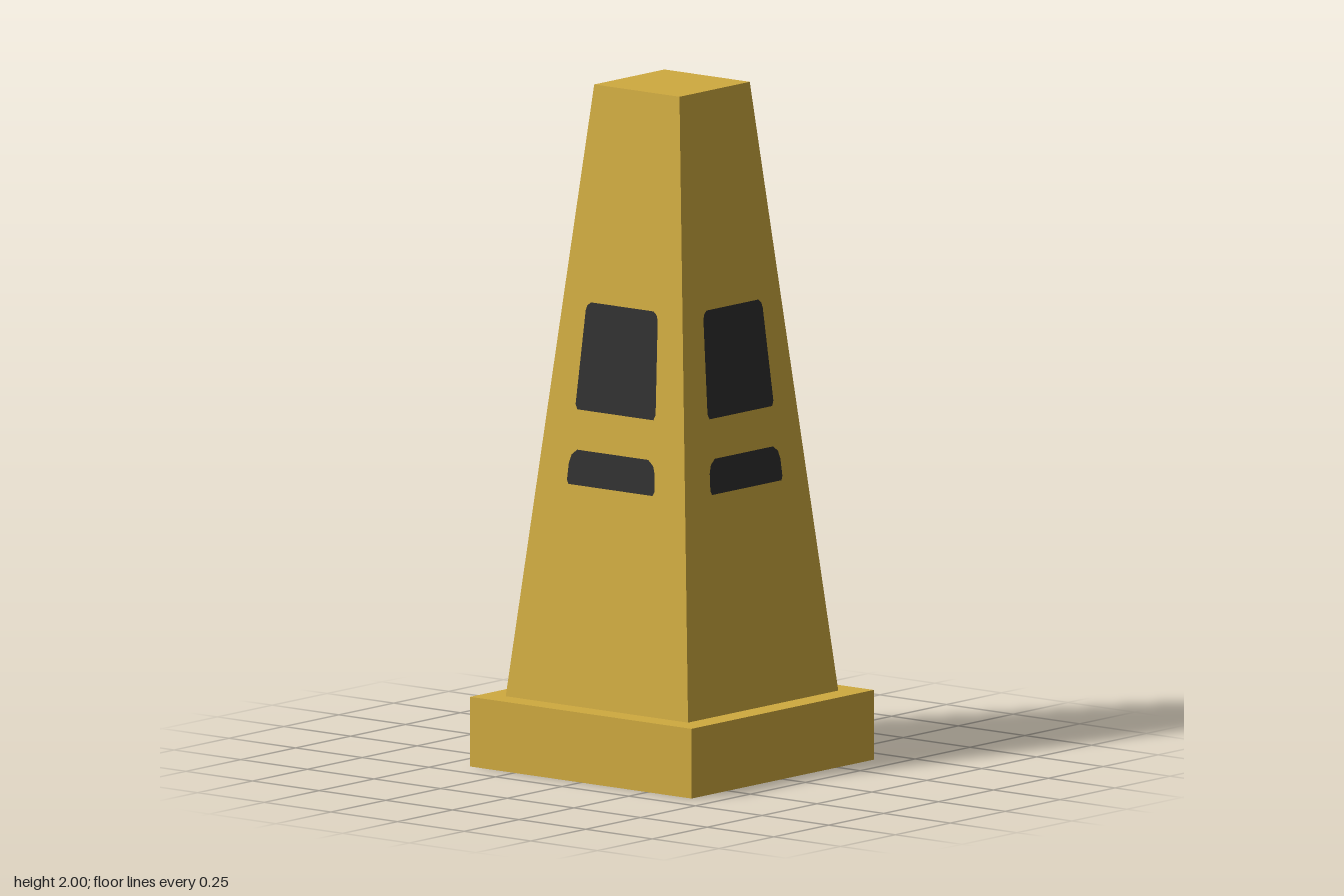
import * as THREE from 'three';

const BASE_TOP = 0.205, TOP = 2, HALF_LOW = 0.342, HALF_HIGH = 0.16;

// half width of the tapered body at height y
const halfAt = (y) => THREE.MathUtils.mapLinear(y, BASE_TOP, TOP, HALF_LOW, HALF_HIGH);

// flat panel with clipped corners, laid on the sloping front face
function panelGeometry(y0, y1, w0, w1, cornerLow, cornerHigh) {
  const cl = cornerLow, ch = cornerHigh;
  const right = [
    [w0 - cl * 0.5, y0], [w0, y0 + cl],
    [w1, y1 - ch], [w1 - ch * 0.2, y1 - ch * 0.4], [w1 - ch * 0.7, y1],
  ];
  const left = right.map(([x, y]) => [-x, y]).reverse();
  const shape = new THREE.Shape([...right, ...left].map(([x, y]) => new THREE.Vector2(x, y)));
  const geo = new THREE.ShapeGeometry(shape);
  const pos = geo.attributes.position;
  for (let i = 0; i < pos.count; i++) pos.setZ(i, halfAt(pos.getY(i)) + 0.003);
  geo.computeVertexNormals();
  return geo;
}

export function createModel() {
  const model = new THREE.Group();
  model.name = 'squareSafetyCone';
  const yellow = new THREE.MeshStandardMaterial({ color: 0xcfaa3f });
  yellow.name = 'mustard yellow';
  const dark = new THREE.MeshStandardMaterial({ color: 0x2e2e2e });
  dark.name = 'charcoal';

  const add = (parent, name, geo, mat) => {
    const mesh = new THREE.Mesh(geo, mat);
    mesh.name = name;
    parent.add(mesh);
    return mesh;
  };

  // square foot
  const base = add(model, 'base', new THREE.BoxGeometry(0.83, BASE_TOP, 0.83), yellow);
  base.position.y = BASE_TOP / 2;

  // four-sided tapered body with flat faces
  const bodyGeo = new THREE.CylinderGeometry(
    HALF_HIGH * Math.SQRT2, HALF_LOW * Math.SQRT2, TOP - BASE_TOP, 4
  ).rotateY(Math.PI / 4).toNonIndexed();
  bodyGeo.computeVertexNormals();
  const body = add(model, 'body', bodyGeo, yellow);
  body.position.y = (TOP + BASE_TOP) / 2;

  // a large and a small dark panel on each face
  const upper = panelGeometry(1.06, 1.373, 0.15, 0.135, 0.015, 0.025);
  const lower = panelGeometry(0.842, 0.944, 0.164, 0.161, 0.012, 0.04);
  ['front', 'left', 'back', 'right'].forEach((side, i) => {
    const panels = new THREE.Group();
    panels.name = `${side}Panels`;
    panels.rotation.y = (i * Math.PI) / 2;
    add(panels, 'upperPanel', upper, dark);
    add(panels, 'lowerPanel', lower, dark);
    model.add(panels);
  });

  return model;
}
